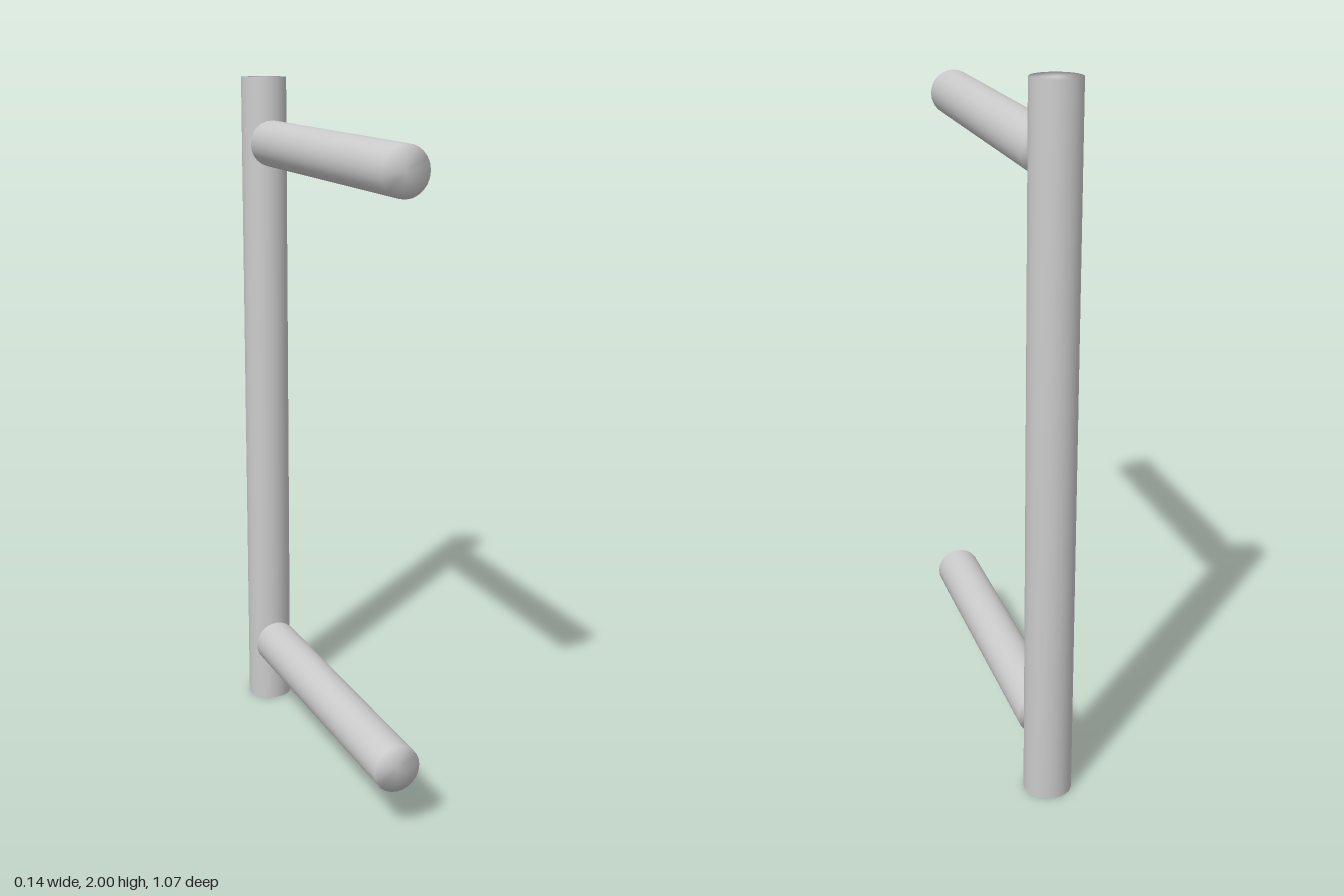
import * as THREE from 'three';
import { mergeVertices } from 'three/addons/utils/BufferGeometryUtils.js';

const RADIUS = 0.068;
const BAR_Z = -0.465;
const FRONT_Z = 0.533;

// Closed rod whose normals are shared between the wall and the caps
function rodGeometry(length) {
  const raw = new THREE.CylinderGeometry(RADIUS, RADIUS, length, 24);
  raw.deleteAttribute('normal');
  raw.deleteAttribute('uv');
  const geometry = mergeVertices(raw, 1e-4);
  geometry.computeVertexNormals();
  return geometry;
}

export function createModel() {
  const group = new THREE.Group();
  group.name = 'pullHandle';
  const material = new THREE.MeshStandardMaterial({ color: 0xcccccc });

  // Upright grip bar
  const bar = new THREE.Mesh(rodGeometry(2), material);
  bar.name = 'gripBar';
  bar.position.set(0, 1, BAR_Z);
  group.add(bar);

  // Two standoffs, butted against the front of the bar
  const backZ = BAR_Z + RADIUS;
  const standoffGeometry = rodGeometry(FRONT_Z - backZ).rotateX(Math.PI / 2);
  for (const [name, y] of [['lowerStandoff', 0.197], ['upperStandoff', 1.808]]) {
    const standoff = new THREE.Mesh(standoffGeometry, material);
    standoff.name = name;
    standoff.position.set(0, y, (FRONT_Z + backZ) / 2);
    group.add(standoff);
  }

  return group;
}
